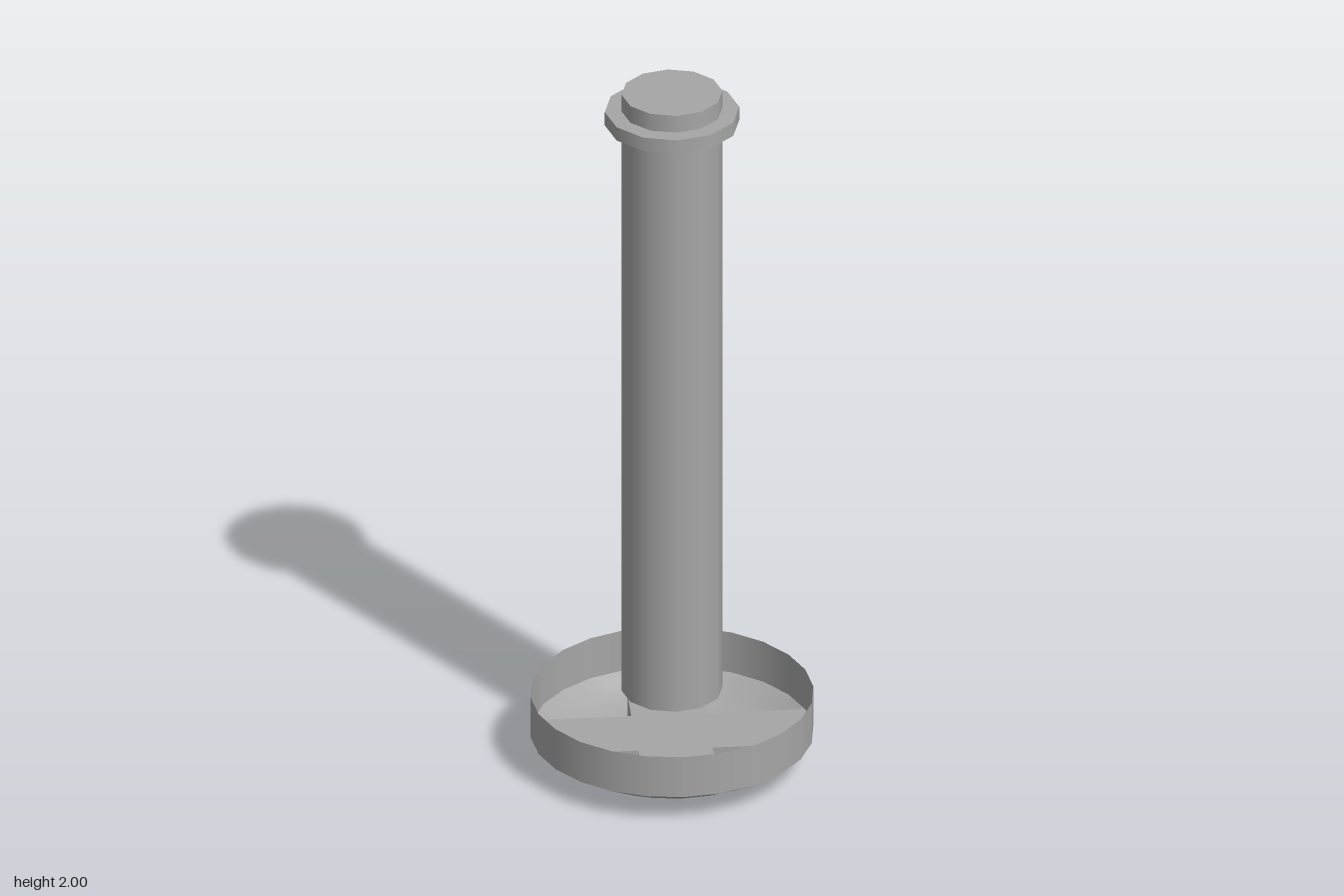
import * as THREE from 'three';

const SLOT = 0.1, SLOT_END = 0.22, FLOOR = 0.08, RIM = 0.378;
const rad = THREE.MathUtils.degToRad;

// dome height at radius r
const profile = [[0.14, 0], [0.22, 0.015], [0.29, 0.03], [RIM, FLOOR]];
function domeY(r) {
  for (let i = 1; i < profile.length; i++) {
    const [r0, y0] = profile[i - 1], [r1, y1] = profile[i];
    if (r <= r1) return Math.max(0, y0 + (y1 - y0) * (r - r0) / (r1 - r0));
  }
  return FLOOR;
}

// radius of the 24-sided rim, and of the cross slot edge, at an angle in degrees
const rimR = a => RIM * Math.cos(rad(7.5)) / Math.cos(rad((a % 15) - 7.5));
function slotR(a) {
  const s = Math.sin(rad(a)), c = Math.abs(Math.cos(rad(a)));
  const short = Math.min(SLOT_END / s, c > 1e-6 ? SLOT / c : Infinity);
  return Math.min(Math.max(SLOT / s, short), rimR(a));
}
const angles = [15, 17, 20.2, 25, 30, 37, 45, 55, 60, 65.56, 75, 90];
for (let i = angles.length - 2; i >= 0; i--) angles.push(180 - angles[i]);

const polar = (a, r, y) => [r * Math.cos(rad(a)), y, r * Math.sin(rad(a))];

// grid of rows (one per angle) turned into a surface
function gridGeometry(rows) {
  const n = rows[0].length, index = [];
  for (let i = 0; i < rows.length - 1; i++)
    for (let j = 0; j < n - 1; j++) {
      const p = i * n + j;
      index.push(p, p + 1, p + n, p + 1, p + n + 1, p + n);
    }
  const g = new THREE.BufferGeometry();
  g.setAttribute('position', new THREE.Float32BufferAttribute(rows.flat(2), 3));
  g.setIndex(index);
  return g;
}

export function createModel() {
  const group = new THREE.Group();
  const steel = new THREE.MeshStandardMaterial({ color: 0xa6a6a6, side: THREE.DoubleSide });
  steel.name = 'steel grey';
  const add = (name, geo, y = 0) => {
    const m = new THREE.Mesh(geo, steel);
    m.name = name;
    m.position.y = y;
    group.add(m);
    return m;
  };

  // shaft and collar
  add('shaft', new THREE.CylinderGeometry(0.135, 0.135, 1.79, 12), 1.105);
  add('collar', new THREE.CylinderGeometry(0.18, 0.18, 0.04, 12), 1.93);

  // open-topped rim of the head
  add('headRim', new THREE.CylinderGeometry(RIM, RIM, 0.2 - FLOOR, 24, 1, true), (0.2 + FLOOR) / 2);

  // two dome halves, cut by the cross slot
  const dome = gridGeometry(angles.map(a => {
    const inner = slotR(a), outer = rimR(a);
    return [0, 0.18, 0.22, 0.29, 0.335, RIM].map(ring => {
      const r = Math.min(Math.max(inner, ring), outer);
      return polar(a, r, ring === RIM ? FLOOR : domeY(r));
    });
  }));
  dome.computeVertexNormals();

  // slot walls from the dome up to the slot floor
  const walls = gridGeometry(angles.map(a => {
    const r = slotR(a);
    return [polar(a, r, FLOOR), polar(a, r, domeY(r))];
  })).toNonIndexed();
  walls.computeVertexNormals();

  for (const turn of [0, Math.PI]) {
    add('headDome', dome).rotation.y = turn;
    add('slotWalls', walls).rotation.y = turn;
  }

  // cross-shaped slot floor
  const edge = RIM * Math.cos(rad(15));
  const half = [[RIM, 0], [edge, SLOT], [SLOT, SLOT], [SLOT, SLOT_END],
    [-SLOT, SLOT_END], [-SLOT, SLOT], [-edge, SLOT]];
  const outline = [...half, ...half.map(([x, z]) => [-x, -z])];
  const floor = new THREE.ShapeGeometry(new THREE.Shape(outline.map(p => new THREE.Vector2(...p))));
  floor.rotateX(-Math.PI / 2);
  add('slotFloor', floor, FLOOR);

  return group;
}
